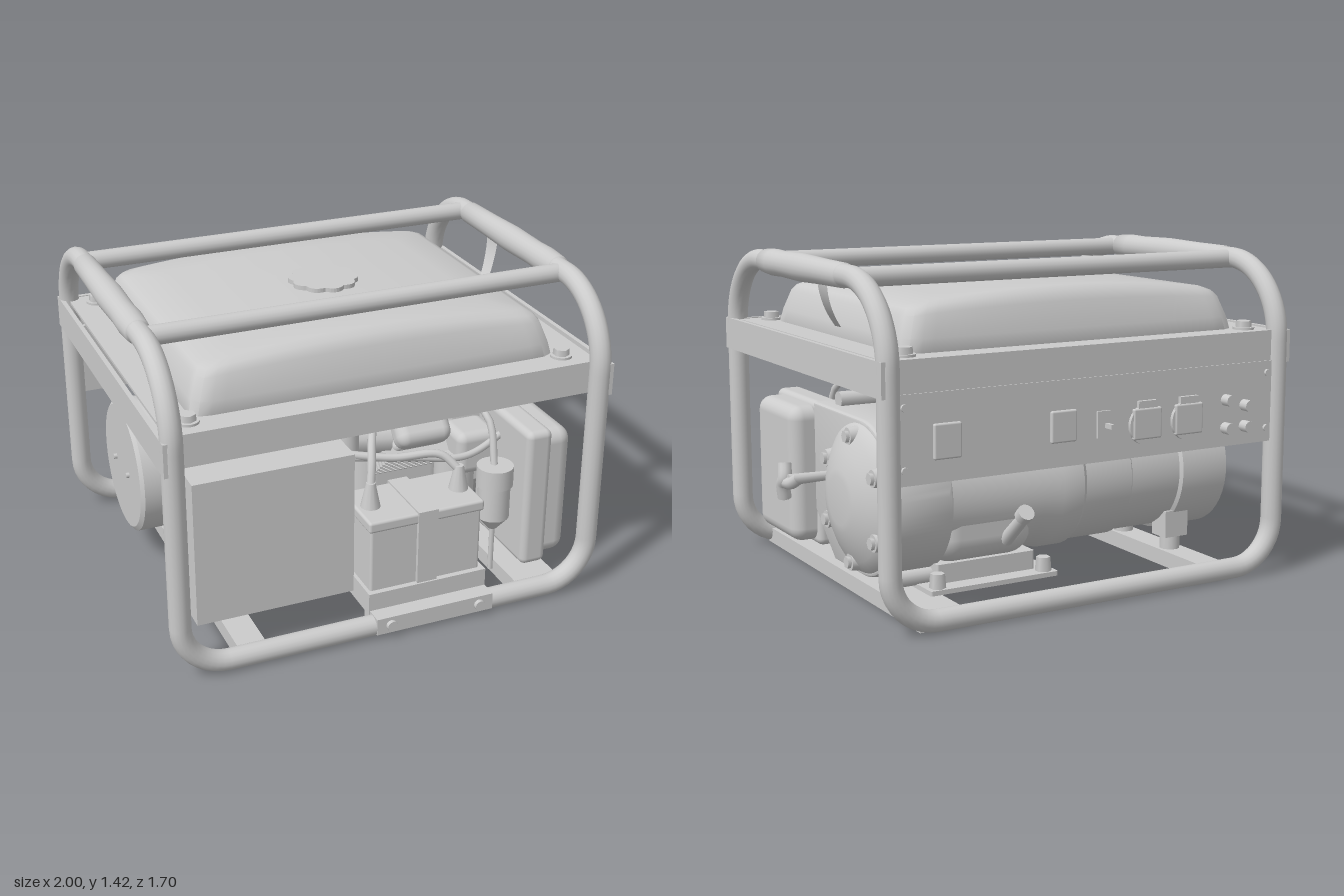
import * as THREE from 'three';
import { RoundedBoxGeometry } from 'three/addons/geometries/RoundedBoxGeometry.js';
import { toCreasedNormals } from 'three/addons/utils/BufferGeometryUtils.js';

const V = (x, y, z) => new THREE.Vector3(x, y, z);
const XL = -0.945, XR = 0.905, ZF = 0.785, ZB = -0.775;

export function createModel() {
  const model = new THREE.Group();
  const mat = new THREE.MeshStandardMaterial({ color: 0xcccccc });
  const thin = new THREE.MeshStandardMaterial({ color: 0xcccccc, side: THREE.DoubleSide });
  const add = (name, geo, x = 0, y = 0, z = 0, parent = model) => {
    const m = new THREE.Mesh(geo, mat);
    m.name = name;
    m.position.set(x, y, z);
    parent.add(m);
    return m;
  };
  // box given by its min and max on each axis
  const box = (name, x0, x1, y0, y1, z0, z1, r = 0, parent = model) => {
    const s = [x1 - x0, y1 - y0, z1 - z0];
    const g = r ? new RoundedBoxGeometry(...s, 3, r) : new THREE.BoxGeometry(...s);
    return add(name, g, (x0 + x1) / 2, (y0 + y1) / 2, (z0 + z1) / 2, parent);
  };
  const cyl = (name, r0, r1, h, x, y, z, sides = 24, axis = 'y') => {
    const g = new THREE.CylinderGeometry(r1, r0, h, sides);
    if (axis === 'x') g.rotateZ(-Math.PI / 2);
    if (axis === 'z') g.rotateX(Math.PI / 2);
    return add(name, g, x, y, z);
  };
  const hose = (name, r, ...p) =>
    add(name, new THREE.TubeGeometry(new THREE.CatmullRomCurve3(p.map(a => V(...a))), 40, r, 10));
  // solid of revolution about x, profile as [radius, x]
  const latheX = (name, pts, y, z, crease) => {
    const g = new THREE.LatheGeometry(pts.map(p => new THREE.Vector2(...p)), 48).rotateZ(-Math.PI / 2);
    return add(name, toCreasedNormals(g, crease), 0, y, z);
  };
  // flat horizontal plate from a shape
  const plate = (name, shape, depth, x, y, z) =>
    add(name, new THREE.ExtrudeGeometry(shape, { depth, bevelEnabled: false }).rotateX(-Math.PI / 2), x, y, z);

  // tubular frame: one closed bent pipe
  const corners = [
    [XL, 0.05, ZF, 0.2], [XR, 0.05, ZF, 0.2], [XR, 1.365, ZF, 0.32], [XR, 1.365, ZB, 0.32],
    [XR, 0.05, ZB, 0.2], [XL, 0.05, ZB, 0.2], [XL, 1.365, ZB, 0.32], [XL, 1.365, ZF, 0.32]];
  const path = new THREE.CurvePath();
  const bends = corners.map((c, i) => {
    const p = V(...c), toward = q => p.clone().add(V(...q).sub(p).setLength(c[3]));
    const a = toward(corners[(i + 7) % 8]), b = toward(corners[(i + 1) % 8]);
    return new THREE.CubicBezierCurve3(a, a.clone().lerp(p, 0.55), b.clone().lerp(p, 0.55), b);
  });
  bends.forEach((b, i) => {
    path.add(b);
    path.add(new THREE.LineCurve3(b.v3, bends[(i + 1) % 8].v0));
  });
  add('frameTube', new THREE.TubeGeometry(path, 360, 0.045, 16, true));
  for (const z of [-0.455, 0.445]) cyl('topCrossbar', 0.04, 0.04, XR - XL, -0.02, 1.36, z, 16, 'x');
  for (const [x, s] of [[XL, -1], [XR, 1]]) {
    const grip = [[0, -0.4], [0.05, -0.4], [0.053, -0.2], [0.059, 0], [0.055, 0.2], [0.058, 0.3], [0.052, 0.4], [0, 0.4]];
    add('handGrip', new THREE.LatheGeometry(grip.map(p => new THREE.Vector2(...p)), 20).rotateX(Math.PI / 2), x, 1.364, 0);
    box('sideBeam', x + s * 0.034 - 0.01, x + s * 0.034 + 0.01, 0.94, 1.08, ZB - 0.035, ZF + 0.035);
  }
  box('frontBeam', XL, XR, 0.94, 1.08, 0.745, 0.765);
  box('rearBeam', XL, XR, 0.94, 1.08, -0.79, -0.77);

  // hanging strap on one grip
  const strap = new THREE.PlaneGeometry(0.1, 0.26, 1, 10);
  const sp = strap.attributes.position;
  for (let i = 0; i < sp.count; i++) {
    const t = 0.5 - sp.getY(i) / 0.26;
    sp.setXYZ(i, 0.89 - 0.14 * t * t, 1.34 - 0.24 * t, -0.15 + sp.getX(i) * (1 - 0.4 * t) + 0.14 * t * t);
  }
  strap.computeVertexNormals();
  add('strap', strap).material = thin;

  // deck with an opening for the tank
  const rect = (x, y, r) => {
    const s = new THREE.Shape();
    s.moveTo(x, -y + r); s.lineTo(x, y - r); s.quadraticCurveTo(x, y, x - r, y);
    s.lineTo(-x + r, y); s.quadraticCurveTo(-x, y, -x, y - r);
    s.lineTo(-x, -y + r); s.quadraticCurveTo(-x, -y, -x + r, -y);
    s.lineTo(x - r, -y); s.quadraticCurveTo(x, -y, x, -y + r);
    return s;
  };
  const frame = (x, y, hx, hy) => {
    const s = rect(x, y, 0.01);
    s.holes.push(rect(hx, hy, 0.02));
    return s;
  };
  plate('deck', frame(0.93, 0.77, 0.74, 0.58), 0.012, -0.02, 1.064, -0.005);
  for (const x of [-0.84, 0.79]) for (const z of [-0.68, 0.66]) {
    cyl('deckWasher', 0.046, 0.046, 0.012, x, 1.08, z);
    cyl('deckBolt', 0.036, 0.033, 0.035, x, 1.095, z, 6);
  }
  for (const x of [-0.86, 0.81]) box('cornerBracket', x - 0.04, x + 0.04, 0.85, 0.94, -0.77, -0.75);

  // fuel tank: stacked rounded sections with a crown along x; [half x, half z, y, crown share]
  const outline = rect(1, 1, 0.1).getSpacedPoints(120).slice(0, 120), n = outline.length;
  const rings = [[0, 0, 0.945, 0], [0.72, 0.55, 0.945, 0], [0.76, 0.6, 0.97, 0], [0.8, 0.645, 1.07, 0], [0.785, 0.635, 1.13, 0],
    [0.755, 0.607, 1.215, 0.5], [0.735, 0.585, 1.238, 0.9], [0.7, 0.545, 1.25, 1], [0.55, 0.42, 1.25, 1],
    [0.35, 0.27, 1.25, 1], [0.15, 0.12, 1.25, 1], [0, 0, 1.25, 1]];
  const pos = [], idx = [];
  rings.forEach(([hx, hz, y, w], k) => outline.forEach((p, i) => {
    const x = p.x * hx, j = (i + 1) % n, a = k * n;
    pos.push(x, y + w * 0.048 * (1 - (x / 0.75) ** 2), -p.y * hz);
    if (k < rings.length - 1) idx.push(a + i, a + j, a + n + j, a + i, a + n + j, a + n + i);
  }));
  const tank = new THREE.BufferGeometry();
  tank.setAttribute('position', new THREE.Float32BufferAttribute(pos, 3));
  tank.setIndex(idx);
  add('fuelTank', toCreasedNormals(tank, 0.7), -0.02, 0, -0.005);
  const capShape = new THREE.Shape(Array.from({ length: 80 }, (_, i) => {
    const a = i / 80 * Math.PI * 2, r = 0.135 + 0.016 * Math.abs(Math.sin(a * 5));
    return new THREE.Vector2(r * Math.cos(a), r * Math.sin(a));
  }));
  plate('fuelCap', capShape, 0.022, -0.01, 1.294, 0);
  cyl('fuelValve', 0.025, 0.025, 0.15, -0.54, 0.86, 0.27);
  cyl('fuelValveNut', 0.055, 0.055, 0.035, -0.54, 0.915, 0.27, 12);
  cyl('fuelValveBowl', 0.035, 0.045, 0.06, -0.54, 0.79, 0.27);

  // rear control panel
  box('panelPlate', -0.93, 0.89, 0.6, 0.95, -0.795, -0.775);
  const housing = new THREE.Shape([[0.625, 0.66], [0.64, 0.635], [0.775, 0.605], [0.775, 0.925], [0.74, 0.91], [0.64, 0.86], [0.62, 0.84]]
    .map(p => new THREE.Vector2(...p)));
  add('panelHousing', new THREE.ExtrudeGeometry(housing, { depth: 1.4, bevelEnabled: false }).rotateY(Math.PI / 2), -0.66, 0, 0);
  box('voltMeter', 0.61, 0.73, 0.69, 0.83, -0.81, -0.79, 0.008);
  box('breaker', 0.09, 0.21, 0.7, 0.83, -0.81, -0.79, 0.008);
  box('switchBase', -0.07, -0.01, 0.7, 0.81, -0.805, -0.79);
  box('switchLever', -0.06, -0.045, 0.74, 0.76, -0.85, -0.79);
  for (const x of [-0.25, -0.46]) {
    cyl('socketRim', 0.085, 0.085, 0.02, x, 0.735, -0.8, 32, 'z');
    box('socketLid', x - 0.07, x + 0.07, 0.675, 0.805, -0.815, -0.795, 0.008);
    box('socketHinge', x - 0.045, x + 0.045, 0.805, 0.835, -0.812, -0.79);
  }
  for (const [x, y] of [[-0.66, 0.8], [-0.76, 0.77], [-0.66, 0.68], [-0.76, 0.68]]) cyl('terminal', 0.025, 0.025, 0.05, x, y, -0.815, 12, 'z');
  for (const x of [-0.88, 0.85]) for (const y of [0.66, 0.9]) cyl('panelScrew', 0.015, 0.015, 0.012, x, y, -0.8, 12, 'z');

  // bottom cross members and engine mount
  box('wideCrossMember', 0.58, 0.78, 0.01, 0.08, ZB, ZF);
  box('narrowCrossMember', -0.7, -0.58, 0.01, 0.08, ZB, ZF);
  plate('mountFlange', frame(0.3, 0.35, 0.12, 0.12), 0.02, 0.33, 0.08, -0.23);
  plate('engineBase', frame(0.23, 0.27, 0.12, 0.12), 0.08, 0.33, 0.1, -0.23);
  for (const x of [0.08, 0.58]) for (const z of [-0.54, 0.08]) cyl('mountBolt', 0.035, 0.03, 0.06, x, 0.13, z, 6);

  // engine and generator share one shaft line
  const SY = 0.445, SZ = -0.27;
  box('crankcase', 0.1, 0.58, 0.17, 0.72, -0.54, 0.12, 0.11);
  latheX('alternator', [[0, -0.87], [0.28, -0.87], [0.3, -0.855], [0.3, -0.62], [0.285, -0.61], [0.285, -0.36], [0.295, -0.35],
    [0.295, -0.12], [0.31, -0.1], [0.31, 0.0], [0.29, 0.08], [0.29, 0.56]], SY, SZ, 0.5);
  for (const dz of [-0.1, 0.1]) cyl('endCapScrew', 0.012, 0.012, 0.02, -0.875, SY, SZ + dz, 10, 'x');
  for (const z of [-0.45, -0.09]) {
    box('alternatorFoot', -0.7, -0.58, 0.14, 0.26, z - 0.05, z + 0.05);
    cyl('rubberMount', 0.045, 0.045, 0.09, -0.64, 0.11, z, 16);
  }
  const cover = new THREE.Shape();
  cover.moveTo(-0.19, 0.755); cover.lineTo(0.27, 0.755);
  cover.absarc(0.27, 0.44, 0.315, Math.PI / 2, -Math.PI / 2, true);
  cover.lineTo(0, 0.125); cover.lineTo(-0.19, 0.3);
  add('fanCover', toCreasedNormals(new THREE.ExtrudeGeometry(cover, { depth: 0.22, bevelSize: 0.012, bevelThickness: 0.02, bevelSegments: 3, curveSegments: 24 })
    .rotateY(Math.PI / 2), 0.6), 0.55, 0, 0);
  latheX('recoilDome', [[0.318, 0.77], [0.305, 0.8], [0.26, 0.83], [0.2, 0.86], [0.13, 0.885], [0.1, 0.89], [0, 0.89]], 0.44, -0.27, 1);
  for (let i = 0; i < 6; i++) {
    const a = Math.PI / 2 + i * Math.PI / 3, y = 0.44 + 0.262 * Math.sin(a), z = -0.27 + 0.262 * Math.cos(a);
    cyl('recoilBoltSeat', 0.042, 0.036, 0.05, 0.82, y, z, 16, 'x');
    cyl('recoilBolt', 0.026, 0.026, 0.02, 0.85, y, z, 6, 'x');
  }
  for (const [z, y] of [[0.07, 0.79], [-0.44, 0.74], [0, 0.125], [-0.43, 0.125]]) cyl('coverBolt', 0.036, 0.036, 0.18, 0.64, y, z, 12, 'x');
  cyl('pullCord', 0.02, 0.025, 0.22, 0.86, 0.47, 0.06, 12, 'x');
  hose('pullHandle', 0.03, [0.96, 0.53, 0.12], [0.97, 0.47, 0.1], [0.97, 0.44, 0.12], [0.96, 0.38, 0.13]);
  hose('pullHandleStem', 0.026, [0.95, 0.49, -0.01], [0.965, 0.46, 0.04], [0.965, 0.45, 0.1]);

  // inclined finned cylinder with head
  const cylinder = new THREE.Group();
  cylinder.name = 'engineCylinder';
  cylinder.position.set(0.32, 0.48, 0);
  cylinder.rotation.x = 0.85;
  model.add(cylinder);
  box('barrel', -0.12, 0.12, 0, 0.3, -0.13, 0.13, 0.03, cylinder);
  for (let i = 0; i < 7; i++) box('coolingFin', -0.17, 0.17, 0.07 + i * 0.033, 0.082 + i * 0.033, -0.17, 0.17, 0, cylinder);
  box('valveCover', -0.13, 0.13, 0.3, 0.42, -0.14, 0.14, 0.05, cylinder);
  box('topShroud', 0.12, 0.56, 0.7, 0.78, -0.2, 0.16, 0.035);
  cyl('dipstickTube', 0.03, 0.026, 0.2, 0.25, 0.32, -0.6, 16).rotation.x = -0.85;
  cyl('dipstickCap', 0.036, 0.036, 0.04, 0.25, 0.39, -0.67, 12).rotation.x = -0.85;

  // air cleaner on the right-hand end
  box('airCleanerBack', 0.64, 0.76, 0.11, 0.755, 0.235, 0.7, 0.03);
  box('airCleanerCover', 0.68, 0.87, 0.13, 0.735, 0.255, 0.68, 0.06);
  box('intakeDuct', 0.46, 0.66, 0.45, 0.65, 0.22, 0.42, 0.04);

  // muffler with its heat shield and pipe
  box('mufflerShield', -0.86, -0.18, 0.21, 0.845, 0.44, 0.74);
  cyl('mufflerBody', 0.09, 0.09, 0.6, -0.45, 0.36, 0.345, 32, 'x');
  hose('exhaustPipe', 0.07, [0.2, 0.62, 0.24], [-0.1, 0.64, 0.2], [-0.55, 0.66, 0.16], [-0.7, 0.62, 0.2], [-0.73, 0.5, 0.28], [-0.7, 0.36, 0.35]);

  // battery, strap and tray
  box('battery', -0.1, 0.41, 0.13, 0.47, 0.45, 0.73, 0.012);
  box('batteryLid', -0.11, 0.42, 0.46, 0.51, 0.44, 0.74, 0.012);
  box('batteryStrap', 0.11, 0.2, 0.12, 0.518, 0.435, 0.747);
  box('batteryTray', -0.115, 0.43, 0.08, 0.18, 0.42, 0.755);
  box('trayBracket', -0.11, 0.43, 0.025, 0.1, 0.7, 0.83);
  for (const x of [-0.045, 0.365]) {
    cyl('trayBolt', 0.024, 0.024, 0.02, x, 0.062, 0.838, 12, 'z');
    cyl('batteryTerminal', 0.045, 0.02, 0.12, x, 0.56, 0.6, 12);
  }
  hose('batteryCable', 0.018, [-0.045, 0.6, 0.6], [-0.02, 0.72, 0.55], [0.02, 0.86, 0.4], [-0.15, 0.82, 0.3], [-0.35, 0.75, 0.2]);
  hose('batteryCable', 0.018, [0.365, 0.6, 0.6], [0.3, 0.66, 0.55], [0.1, 0.66, 0.5], [-0.2, 0.7, 0.4]);
  hose('harness', 0.016, [-0.15, 0.68, 0.44], [0.2, 0.63, 0.48], [0.45, 0.6, 0.5], [0.7, 0.65, 0.42]);
  hose('breatherHose', 0.02, [0.12, 0.74, -0.22], [0.12, 0.87, -0.27], [0.12, 0.9, -0.34], [0.12, 0.81, -0.46], [0.12, 0.77, -0.64]);
  hose('fuelHose', 0.016, [-0.54, 0.77, 0.27], [-0.3, 0.76, 0.3], [0.1, 0.87, -0.05], [0.4, 0.82, 0.2], [0.54, 0.78, 0.5], [0.54, 0.55, 0.6]);

  // fuel filter, canister and drain
  cyl('canister', 0.05, 0.05, 0.25, -0.03, 0.74, 0.32);
  cyl('filterHead', 0.08, 0.08, 0.09, 0.54, 0.54, 0.6);
  cyl('filterBowl', 0.07, 0.07, 0.16, 0.54, 0.42, 0.6);
  cyl('filterCone', 0.02, 0.07, 0.06, 0.54, 0.31, 0.6);
  cyl('drainPipe', 0.012, 0.012, 0.22, 0.54, 0.18, 0.6, 8);
  cyl('carburetor', 0.09, 0.09, 0.28, 0.5, 0.4, 0.3);
  return model;
}
